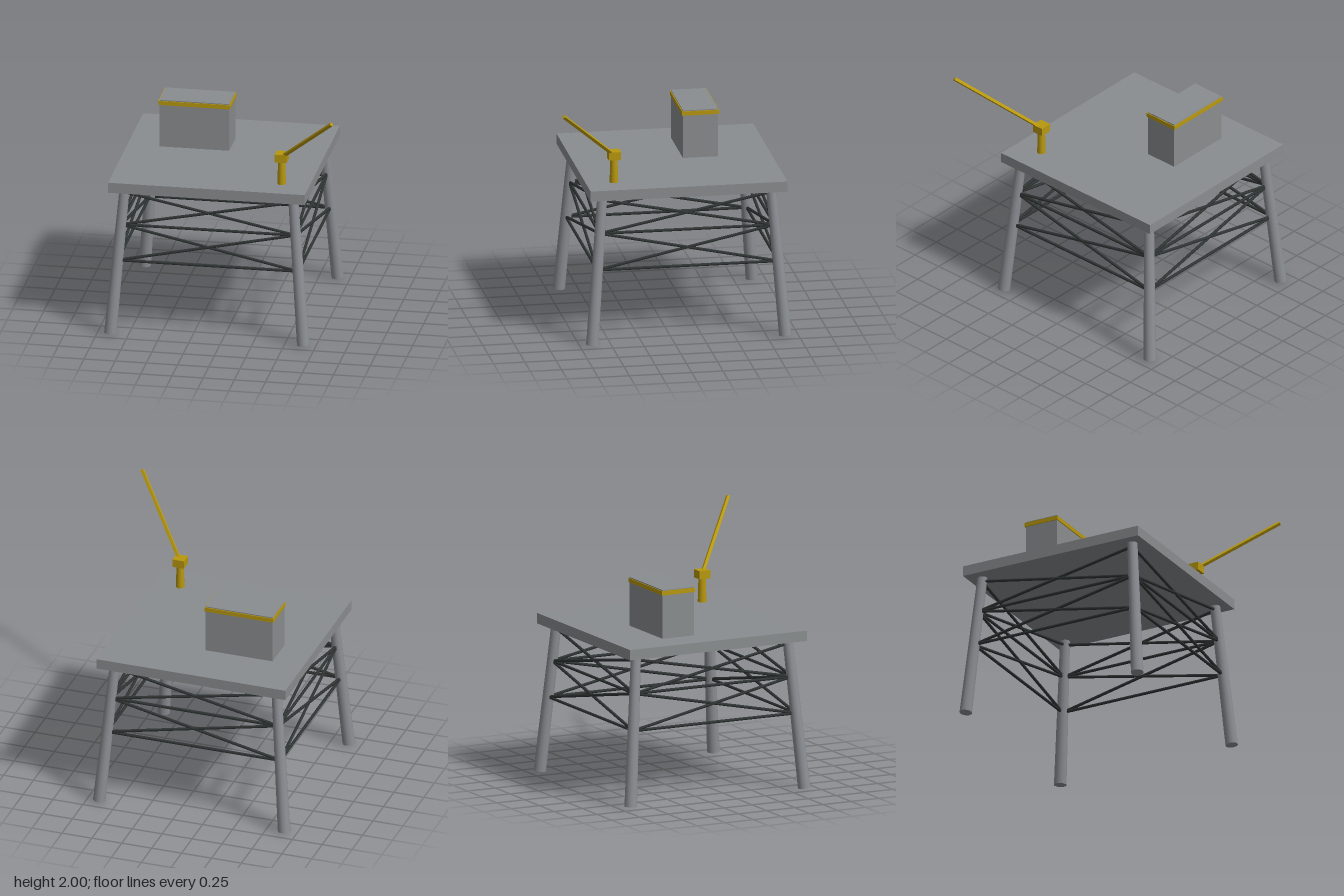
import * as THREE from 'three';

const UP = new THREE.Vector3(0, 1, 0);

function makeMaterial(name, color) {
  const m = new THREE.MeshStandardMaterial({ color });
  m.name = name;
  return m;
}

export function createModel() {
  const model = new THREE.Group();
  model.name = 'offshorePlatform';

  const deckGrey = makeMaterial('deckGrey', 0x8a8d8f);
  const legGrey = makeMaterial('legGrey', 0x8c8f94);
  const braceDark = makeMaterial('braceDark', 0x2f3534);
  const craneYellow = makeMaterial('craneYellow', 0xb8980f);

  function add(name, geometry, material, x, y, z, parent = model) {
    const mesh = new THREE.Mesh(geometry, material);
    mesh.name = name;
    mesh.position.set(x, y, z);
    parent.add(mesh);
    return mesh;
  }

  // Place a part whose long axis is y so that it runs from a to b
  function span(name, makeGeometry, material, a, b, parent) {
    const dir = b.clone().sub(a);
    const mid = a.clone().add(b).multiplyScalar(0.5);
    const mesh = add(name, makeGeometry(dir.length()), material, mid.x, mid.y, mid.z, parent);
    mesh.quaternion.setFromUnitVectors(UP, dir.normalize());
    return mesh;
  }

  // Deck slab
  const C = -0.123; // the deck and its legs are centred on x = z = C
  add('deck', new THREE.BoxGeometry(1.576, 0.084, 1.576), deckGrey, C, 1.233, C);

  // Legs lean inward towards the deck; corners run round the square
  const corners = [[-1, 1], [1, 1], [1, -1], [-1, -1]];
  const legPoint = ([sx, sz], y) => {
    const offset = 0.773 - 0.0815 * y;
    return new THREE.Vector3(C + sx * offset, y, C + sz * offset);
  };
  const legs = new THREE.Group();
  legs.name = 'legs';
  model.add(legs);
  for (const corner of corners) {
    span('leg', (h) => new THREE.CylinderGeometry(0.04, 0.05, h, 16), legGrey,
      legPoint(corner, 0.006), legPoint(corner, 1.21), legs);
  }

  // Bracing: two crossed bays on each side, with a rail below each bay
  const braces = new THREE.Group();
  braces.name = 'braces';
  model.add(braces);
  const rod = (h) => new THREE.CylinderGeometry(0.012, 0.012, h, 8);
  const levels = [0.605, 0.898, 1.165];
  corners.forEach((a, i) => {
    const b = corners[(i + 1) % 4];
    for (let k = 0; k < 2; k++) {
      const [lo, hi] = [levels[k], levels[k + 1]];
      span('rail', rod, braceDark, legPoint(a, lo), legPoint(b, lo), braces);
      span('diagonalBrace', rod, braceDark, legPoint(a, lo), legPoint(b, hi), braces);
      span('diagonalBrace', rod, braceDark, legPoint(a, hi), legPoint(b, lo), braces);
    }
  });

  // Cabin with a yellow band just below the roof
  const cabin = new THREE.Group();
  cabin.name = 'cabin';
  model.add(cabin);
  add('cabinWalls', new THREE.BoxGeometry(0.56, 0.394, 0.28), deckGrey, -0.376, 1.471, -0.346, cabin);
  add('roofBand', new THREE.BoxGeometry(0.574, 0.034, 0.294), craneYellow, -0.376, 1.643, -0.346, cabin);

  // Crane: pedestal, slewing block and raised boom
  const crane = new THREE.Group();
  crane.name = 'crane';
  model.add(crane);
  add('pedestal', new THREE.CylinderGeometry(0.029, 0.035, 0.2, 12), craneYellow, 0.44, 1.37, 0.44, crane);
  add('slewingBlock', new THREE.BoxGeometry(0.097, 0.066, 0.097), craneYellow, 0.44, 1.5, 0.44, crane);
  span('boom', (h) => new THREE.BoxGeometry(0.024, h, 0.024), craneYellow,
    new THREE.Vector3(0.44, 1.5, 0.44), new THREE.Vector3(0.926, 1.986, 0.926), crane);

  return model;
}
